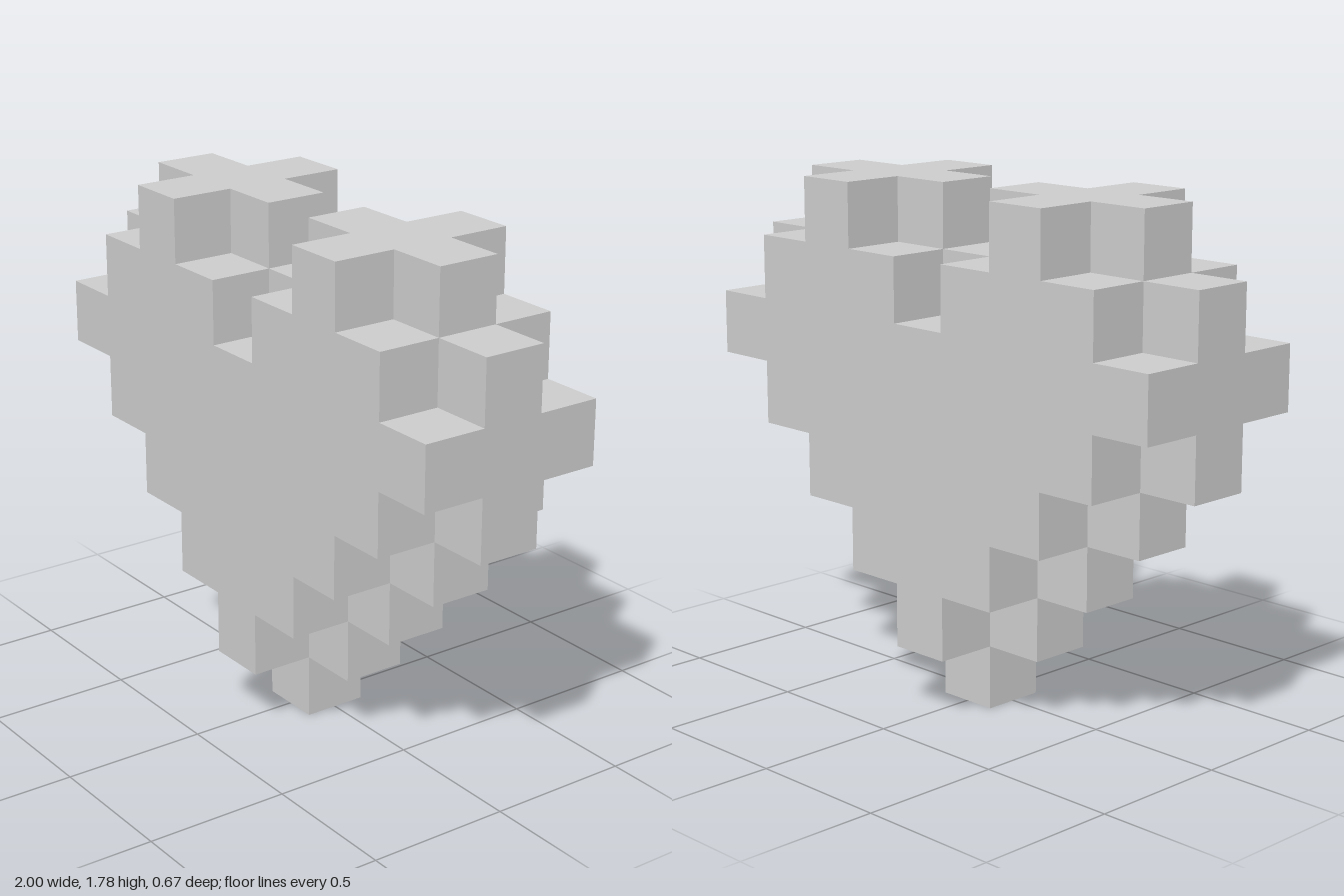
import * as THREE from 'three';

const CELL = 2 / 9; // the model is 9 cells wide, 8 high and 3 deep

// Right half of each stepped outline, from bottom to top, in cells
const middleHalf = [
  [0.5, 0], [0.5, 1], [1.5, 1], [1.5, 2], [2.5, 2], [2.5, 3], [3.5, 3], [3.5, 4],
  [4.5, 4], [4.5, 7], [3.5, 7], [3.5, 8], [0.5, 8], [0.5, 7],
];
const outerHalf = [
  [0.5, 1], [0.5, 2], [1.5, 2], [1.5, 3], [2.5, 3], [2.5, 4], [3.5, 4], [3.5, 5],
  [4.5, 5], [4.5, 6], [3.5, 6], [3.5, 7], [2.5, 7], [2.5, 8], [1.5, 8], [1.5, 7],
  [0.5, 7], [0.5, 6],
];

// Mirrors a half outline and extrudes it one cell deep, centred on z = 0
function layerGeometry(half) {
  const mirrored = half.map(([x, y]) => [-x, y]).reverse();
  const points = [...half, ...mirrored].map(([x, y]) => new THREE.Vector2(x * CELL, y * CELL));
  const geometry = new THREE.ExtrudeGeometry(new THREE.Shape(points), {
    depth: CELL,
    bevelEnabled: false,
  });
  return geometry.translate(0, 0, -CELL / 2);
}

export function createModel() {
  const heart = new THREE.Group();
  heart.name = 'blockHeart';
  const material = new THREE.MeshStandardMaterial({ color: 0xcccccc, flatShading: true });
  const outer = layerGeometry(outerHalf);

  const addLayer = (name, geometry, layer) => {
    const mesh = new THREE.Mesh(geometry, material);
    mesh.name = name;
    mesh.position.z = layer * CELL;
    heart.add(mesh);
  };

  // Wide middle layer between two smaller matching layers
  addLayer('middleLayer', layerGeometry(middleHalf), 0);
  addLayer('frontLayer', outer, 1);
  addLayer('backLayer', outer, -1);

  return heart;
}
